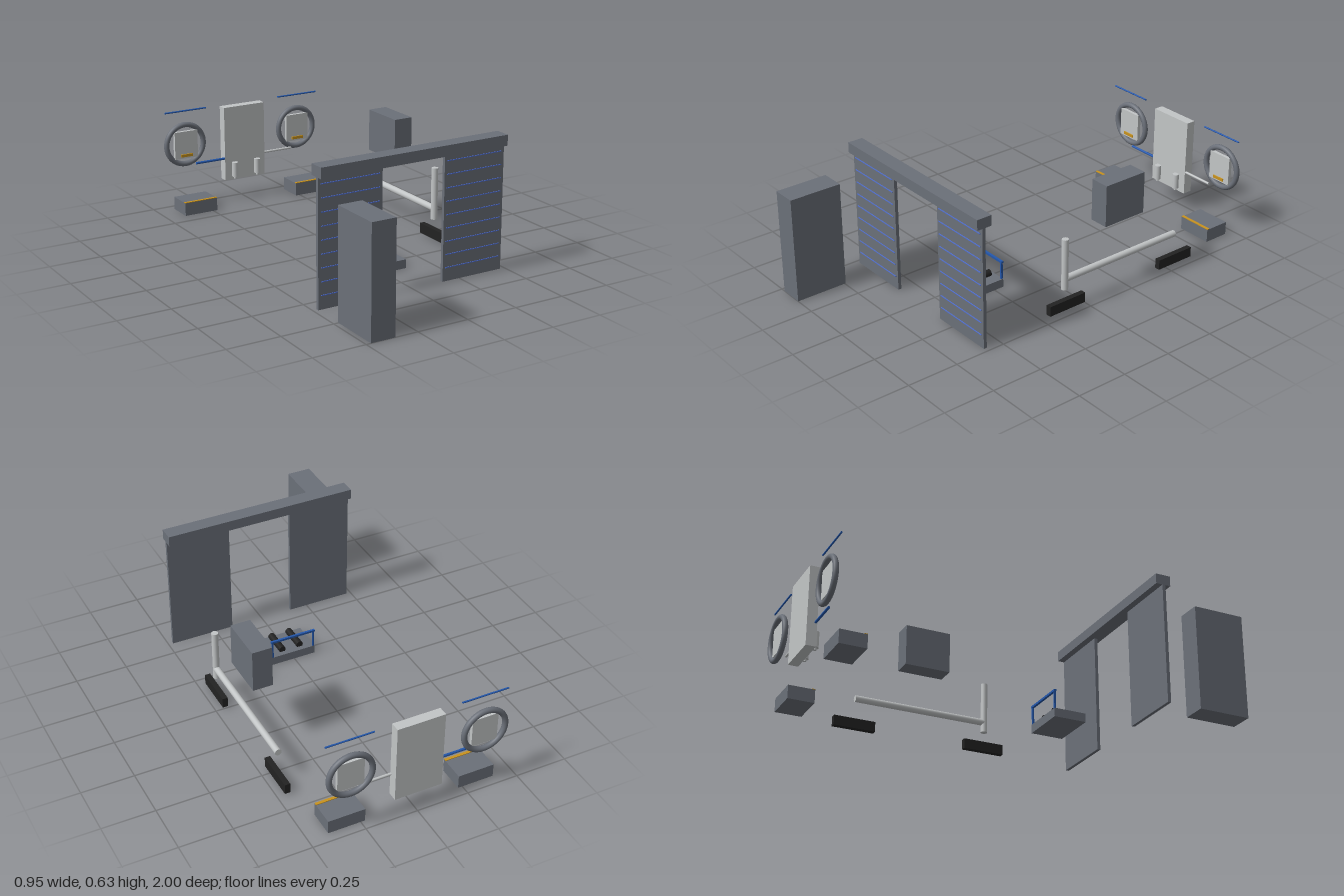
import * as THREE from 'three';

const mat = (name, color) => {
  const m = new THREE.MeshStandardMaterial({ color });
  m.name = name;
  return m;
};

export function createModel() {
  const root = new THREE.Group();
  root.name = 'equipmentLayout';
  const slate = mat('slate grey', 0x6b7079);
  const pale = mat('pale grey', 0xc2c5c6);
  const black = mat('rubber black', 0x222222);
  const blue = mat('frame blue', 0x2458ad);
  const stripe = mat('stripe blue', 0x5272d6);
  const amber = mat('amber', 0xc8931f);

  const add = (name, geo, material, x, y, z) => {
    const mesh = new THREE.Mesh(geo, material);
    mesh.name = name;
    mesh.position.set(x, y, z);
    root.add(mesh);
    return mesh;
  };
  // Box given by its limits on each axis
  const box = (name, m, [x0, x1], [y0, y1], [z0, z1]) =>
    add(name, new THREE.BoxGeometry(x1 - x0, y1 - y0, z1 - z0), m,
      (x0 + x1) / 2, (y0 + y1) / 2, (z0 + z1) / 2);
  // Round bar between two points
  const bar = (name, m, r, a, b) => {
    const p = new THREE.Vector3(...a), q = new THREE.Vector3(...b);
    const mid = p.clone().add(q).multiplyScalar(0.5);
    const mesh = add(name, new THREE.CylinderGeometry(r, r, p.distanceTo(q), 20), m, mid.x, mid.y, mid.z);
    mesh.quaternion.setFromUnitVectors(new THREE.Vector3(0, 1, 0), q.sub(p).normalize());
    return mesh;
  };

  // Tall cabinet in the front corner
  box('cabinet', slate, [-0.477, -0.36], [0, 0.512], [0.745, 1]);

  // Sliding doors under a header beam, with ribs on the front
  box('headerBeam', slate, [-0.478, 0.477], [0.585, 0.635], [0.54, 0.615]);
  for (const s of [-1, 1]) {
    box('doorPanel', slate, s < 0 ? [-0.478, -0.16] : [0.16, 0.477], [0, 0.588], [0.573, 0.589]);
    for (let i = 0; i < 9; i++) {
      const y = 0.064 + i * 0.0616;
      box('doorStripe', stripe, s < 0 ? [-0.464, -0.174] : [0.172, 0.463],
        [y - 0.002, y + 0.002], [0.589, 0.592]);
    }
  }

  // Roller platform with a blue guard rail
  box('platform', slate, [-0.11, 0.12], [0, 0.042], [0.2, 0.36]);
  for (const x of [-0.041, 0.051]) {
    bar('roller', black, 0.017, [x, 0.053, 0.225], [x, 0.053, 0.35]);
  }
  for (const x of [-0.103, 0.113]) {
    box('railPost', blue, [x - 0.004, x + 0.004], [0.04, 0.13], [0.2, 0.209]);
  }
  box('railTop', blue, [-0.11, 0.12], [0.125, 0.135], [0.199, 0.21]);

  // Side pipe, upright post, floor blocks and the hanging box
  bar('sidePipe', pale, 0.016, [0.445, 0.157, -0.557], [0.445, 0.157, 0.109]);
  bar('uprightPost', pale, 0.016, [0.445, 0.105, 0.109], [0.445, 0.358, 0.109]);
  for (const z of [0.003, -0.658]) {
    box('floorBlock', black, [0.438, 0.464], [0.006, 0.055], [z, z + 0.204]);
  }
  box('hangingBox', slate, [0.365, 0.46], [0.347, 0.55], [-0.34, -0.113]);

  // Back panel with two dispensers and side handles
  box('backPanel', pale, [-0.115, 0.113], [0.105, 0.487], [-0.997, -0.95]);
  for (const x of [-0.065, 0.063]) {
    bar('dispenser', pale, 0.016, [x, 0.123, -0.938], [x, 0.198, -0.938]);
    bar('dispenserNozzle', pale, 0.007, [x, 0.112, -0.938], [x, 0.123, -0.938]);
  }
  bar('leftHandle', pale, 0.006, [0.11, 0.22, -0.957], [0.272, 0.22, -0.957]);
  bar('rightHandle', blue, 0.006, [-0.275, 0.22, -0.957], [-0.11, 0.22, -0.957]);

  // Mirrored ring stations: ring, plate, label, top rod and step box
  for (const s of [-1, 1]) {
    const x = s * 0.32;
    add('ring', new THREE.TorusGeometry(0.1015, 0.0135, 16, 48), slate, x, 0.32, -0.9865);
    box('ringPlate', pale, [x - 0.063, x + 0.063], [0.25, 0.39], [-0.988, -0.971]);
    box('plateLabel', amber, [x - 0.032, x + 0.032], [0.259, 0.273], [-0.971, -0.965]);
    bar('topRod', blue, 0.004, [x - 0.113, 0.497, -0.973], [x + 0.113, 0.497, -0.973]);
    const cx = s * 0.317;
    box('stepBox', slate, [cx - 0.088, cx + 0.088], [0, 0.065], [-0.953, -0.826]);
    box('stepEdge', amber, [cx - 0.088, cx + 0.088], [0.065, 0.068], [-0.84, -0.826]);
  }
  return root;
}
